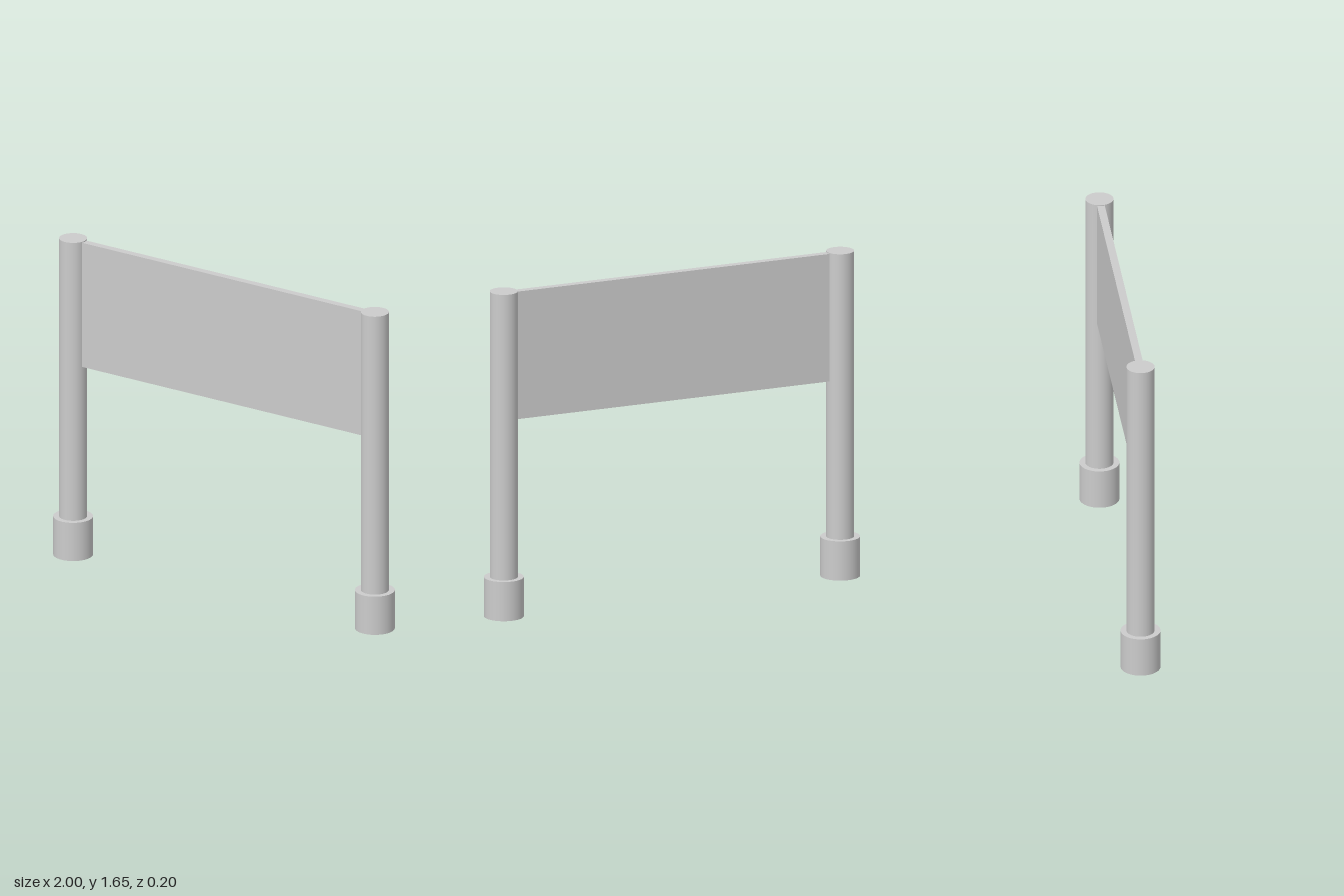
import * as THREE from 'three';

export function createModel() {
  const model = new THREE.Group();
  const material = new THREE.MeshStandardMaterial({ color: 0xcccccc });

  const add = (name, geometry, x, y) => {
    const mesh = new THREE.Mesh(geometry, material);
    mesh.name = name;
    mesh.position.set(x, y, 0);
    model.add(mesh);
  };

  const height = 1.655, baseHeight = 0.2, postX = 0.902;

  // Two round posts, each standing in a wider footing
  for (const [side, sign] of [['left', 1], ['right', -1]]) {
    add(side + 'Base', new THREE.CylinderGeometry(0.098, 0.098, baseHeight, 64), sign * postX, baseHeight / 2);
    const postHeight = height - baseHeight;
    add(side + 'Post', new THREE.CylinderGeometry(0.069, 0.069, postHeight, 64), sign * postX, baseHeight + postHeight / 2);
  }

  // Thin sign board, its ends set into the posts just below their tops
  const top = 1.65, bottom = 1.0;
  add('signPanel', new THREE.BoxGeometry(1.7, top - bottom, 0.038), 0, (top + bottom) / 2);

  return model;
}
